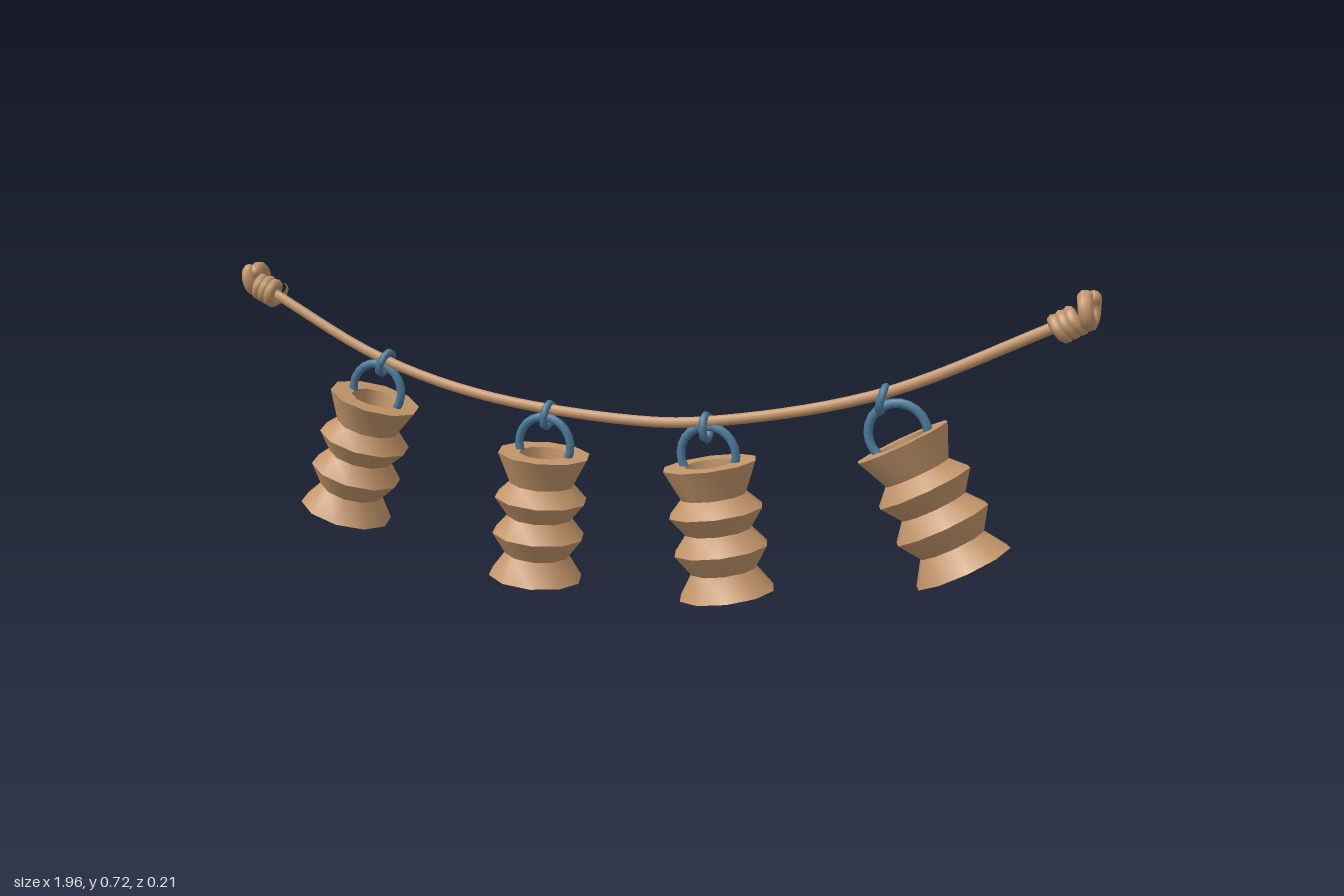
import * as THREE from 'three';
import { toCreasedNormals } from 'three/addons/utils/BufferGeometryUtils.js';

const V3 = (x, y, z = 0) => new THREE.Vector3(x, y, z);

export function createModel() {
  const clay = new THREE.MeshStandardMaterial({ color: 0xc2956a });
  clay.name = 'tan';
  const metal = new THREE.MeshStandardMaterial({ color: 0x4a7898 });
  metal.name = 'blue';

  const model = new THREE.Group();
  model.name = 'potGarland';

  function add(parent, name, geometry, material) {
    const mesh = new THREE.Mesh(geometry, material);
    mesh.name = name;
    parent.add(mesh);
    return mesh;
  }
  const tube = (points, segments, radius) =>
    new THREE.TubeGeometry(new THREE.CatmullRomCurve3(points), segments, radius, 8);

  // Sagging rope
  add(model, 'rope', tube([
    V3(-0.93, 0.655), V3(-0.634, 0.51), V3(-0.366, 0.438), V3(0, 0.407),
    V3(0.17, 0.417), V3(0.54, 0.5), V3(0.93, 0.678)
  ], 40, 0.012), clay);

  // Knot at each rope end, built along local +x: wraps, then a curled loop
  function addKnot(name, x, y, slope, flip) {
    const knot = new THREE.Group();
    knot.name = name;
    const coil = [];
    for (let i = 0; i <= 24; i++) {
      const a = (i / 24) * Math.PI * 6;
      coil.push(V3(i / 24 * 0.05, 0.021 * Math.cos(a), 0.021 * Math.sin(a)));
    }
    add(knot, 'knotWraps', tube(coil, 60, 0.013), clay);
    const curl = [];
    for (let i = 0; i <= 14; i++) {
      const a = -0.6 + (i / 14) * Math.PI * 1.9;
      curl.push(V3(0.062 + 0.012 * Math.cos(a) + i * 0.0012,
        0.008 + 0.025 * Math.cos(a), 0.008 + 0.025 * Math.sin(a)));
    }
    add(knot, 'knotLoop', tube(curl, 30, 0.016), clay);
    for (const p of [curl[0], curl[14]]) {
      add(knot, 'knotTip', new THREE.SphereGeometry(0.016, 8, 6), clay).position.copy(p);
    }
    knot.position.set(x, y, 0);
    knot.rotation.set(0, flip ? Math.PI : 0, slope);
    model.add(knot);
  }
  addKnot('leftKnot', 0.9, 0.657, 0.52, false);
  addKnot('rightKnot', -0.9, 0.64, 0.42, true);

  // Ten-sided ribbed pot, rim at y = 0, with a hollow mouth
  const profile = [
    [0, -0.288], [0.108, -0.288], [0.073, -0.236], [0.106, -0.188], [0.073, -0.148],
    [0.106, -0.104], [0.073, -0.07], [0.105, 0], [0.056, 0], [0.05, -0.08], [0, -0.08]
  ].map(([r, y]) => new THREE.Vector2(r, y));
  const potGeometry = toCreasedNormals(
    new THREE.LatheGeometry(profile, 10, Math.PI / 2), 0.7);

  // Bail handle standing in the mouth of the pot
  const bailArc = Math.PI + 0.8;
  const bailGeometry = new THREE.TorusGeometry(0.063, 0.01, 8, 14, bailArc);
  bailGeometry.rotateZ(-0.4);

  // Link around the rope, lying across it
  const linkGeometry = new THREE.TorusGeometry(0.027, 0.009, 6, 8);
  linkGeometry.rotateY(Math.PI / 2);

  // Pot rim centre, pot tilt, link centre, link tilt
  const pots = [
    [-0.647, 0.412, -0.309, -0.617, 0.497, -0.4],
    [-0.217, 0.316, -0.087, -0.206, 0.404, -0.15],
    [0.176, 0.324, 0.15, 0.168, 0.404, 0.05],
    [0.596, 0.406, 0.49, 0.553, 0.492, -0.2]
  ];
  pots.forEach(([x, y, tilt, linkX, linkY, linkTilt], i) => {
    const hanging = new THREE.Group();
    hanging.name = `hangingPot${i + 1}`;
    hanging.position.set(x, y, 0);
    hanging.rotation.z = tilt;
    add(hanging, 'pot', potGeometry, clay);
    add(hanging, 'bailHandle', bailGeometry, metal).position.y = 0.02;
    model.add(hanging);

    const link = add(model, `ropeLink${i + 1}`, linkGeometry, metal);
    link.position.set(linkX, linkY, 0);
    link.rotation.z = linkTilt;
  });

  return model;
}
